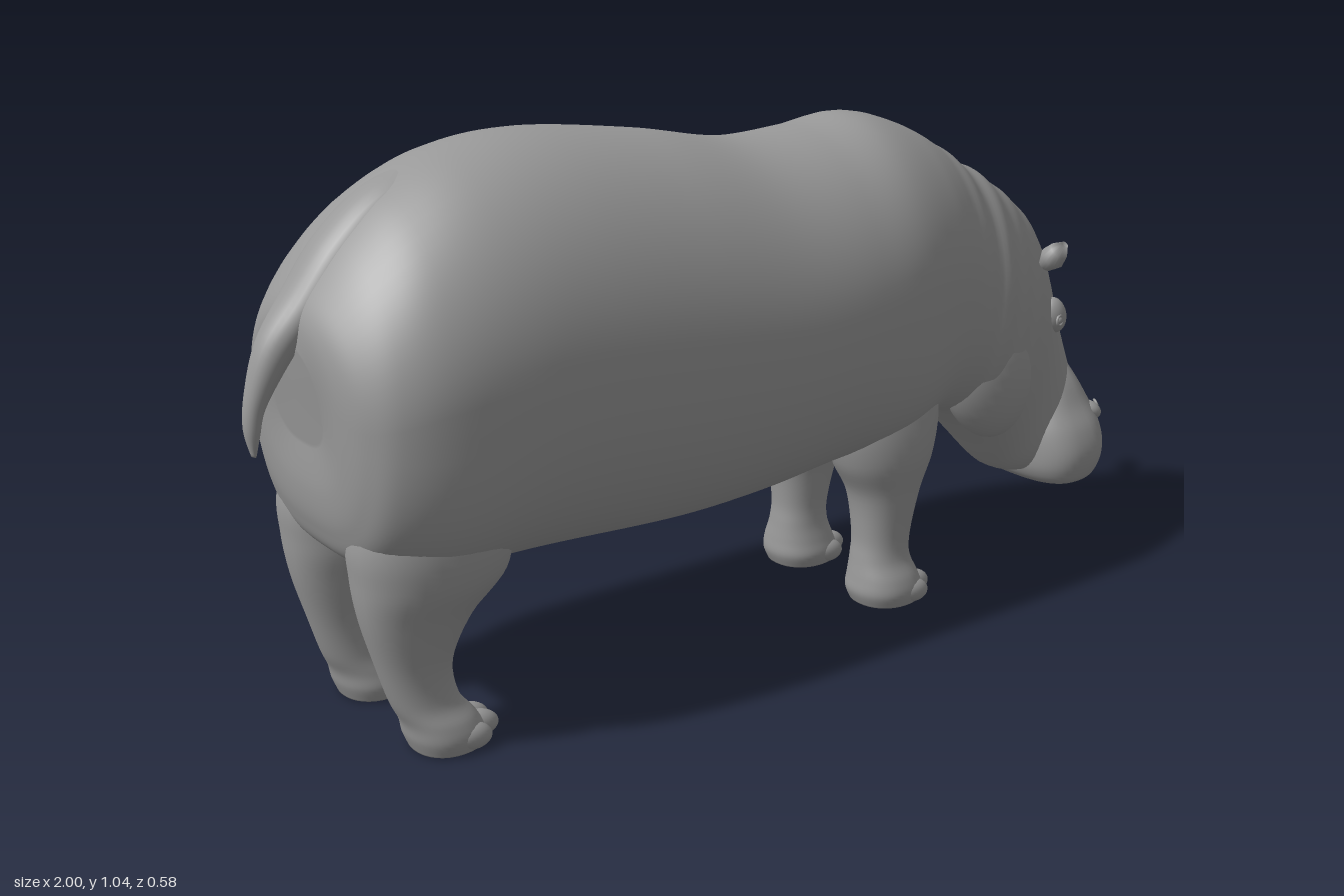
import * as THREE from 'three';

const skin = new THREE.MeshStandardMaterial({ color: 0x999999 });
const thinSkin = new THREE.MeshStandardMaterial({ color: 0x999999, side: THREE.DoubleSide });

function addMesh(parent, name, geometry, mat = skin) {
  const mesh = new THREE.Mesh(geometry, mat);
  mesh.name = name;
  parent.add(mesh);
  return mesh;
}

function ellipsoid(parent, name, centre, radii, tilt = 0) {
  const mesh = addMesh(parent, name, new THREE.SphereGeometry(1, 28, 20));
  mesh.position.set(...centre);
  mesh.scale.set(...radii);
  mesh.rotation.z = tilt;
}

// Catmull-Rom blend of one ring parameter
function blend(a, b, c, d, t) {
  return b + 0.5 * t * (c - a + t * (2 * a - 5 * b + 4 * c - d + t * (3 * (b - c) + d - a)));
}

// Smooth skin through rings: [topX, topY, bottomX, bottomY, halfWidth, centreZ, skew].
// power < 1 squares the section; lowPower(x) does so for the lower half; adjust(ring) alters a ring.
function loft(rings, { power = 1, lowPower = () => power, steps = 6, sides = 48, adjust = () => {} } = {}) {
  const full = rings.map(r => [...r, 0, 0].slice(0, 7));
  const last = full.length - 1;
  const at = i => full[Math.min(Math.max(i, 0), last)];
  const positions = [], index = [], centres = [];
  const count = last * steps + 1;
  for (let k = 0; k < count; k++) {
    const i = Math.min(Math.floor(k / steps), last - 1);
    const t = k / steps - i;
    const r = at(i).map((v, n) => blend(at(i - 1)[n], v, at(i + 1)[n], at(i + 2)[n], t));
    adjust(r);
    const [tx, ty, bx, by, w, zc, skew] = r;
    centres.push([(tx + bx) / 2, (ty + by) / 2, zc]);
    for (let j = 0; j < sides; j++) {
      const a = j / sides * Math.PI * 2;
      const c = Math.cos(a), s = Math.sin(a);
      const p = c < 0 ? lowPower(bx) : power;
      const u = Math.sign(c) * Math.abs(c) ** p;
      const v = Math.sign(s) * Math.abs(s) ** p;
      positions.push((tx + bx) / 2 + u * (tx - bx) / 2, (ty + by) / 2 + u * (ty - by) / 2,
        zc + v * w * (1 - skew * u));
    }
  }
  for (let k = 0; k < count - 1; k++) {
    for (let j = 0; j < sides; j++) {
      const a = k * sides + j, b = k * sides + (j + 1) % sides;
      index.push(a, b, a + sides, b, b + sides, a + sides);
    }
  }
  // end caps
  const start = positions.length / 3, end = (count - 1) * sides;
  positions.push(...centres[0], ...centres[count - 1]);
  for (let j = 0; j < sides; j++) {
    const n = (j + 1) % sides;
    index.push(start, n, j, start + 1, end + j, end + n);
  }
  const g = new THREE.BufferGeometry();
  g.setAttribute('position', new THREE.Float32BufferAttribute(positions, 3));
  g.setIndex(index);
  g.computeVertexNormals();
  return g;
}

// Soft, uneven skin folds around the neck
function neckFolds(r) {
  const x = r[0];
  const fade = THREE.MathUtils.smoothstep(x, 0.46, 0.54) * (1 - THREE.MathUtils.smoothstep(x, 0.72, 0.82));
  const wave = fade * (0.0025 * Math.sin(x * 72) + 0.002 * Math.sin(x * 41));
  r[1] += wave;
  r[4] += wave;
}

// Fuller flanks where the haunches and shoulders run into the legs
function flankPower(x) {
  const hump = (centre, width) => Math.exp(-(((x - centre) / width) ** 2));
  return 0.86 - 0.26 * hump(-0.76, 0.17) - 0.2 * hump(0.32, 0.14);
}

function addLeg(parent, name, rings, side, toeX) {
  const leg = new THREE.Group();
  leg.name = name;
  parent.add(leg);
  const placed = rings.map(([tx, ty, bx, by, w, z]) => [tx, ty, bx, by, w, z * side]);
  addMesh(leg, 'legSkin', loft(placed, { power: 0.9, sides: 32 }));
  // four toes fanned over the front of the foot
  for (let i = 0; i < 4; i++) {
    const f = (i - 1.5) / 1.5;
    ellipsoid(leg, 'toe', [toeX - 0.038 * f * f, 0.027, side * 0.135 + f * 0.053], [0.042, 0.025, 0.024], -0.15);
  }
}

export function createModel() {
  const hippo = new THREE.Group();
  hippo.name = 'hippopotamus';

  // trunk, neck and head down to the jaw
  addMesh(hippo, 'bodyAndHead', loft([
    [-0.918, 0.74, -0.895, 0.56, 0.09],
    [-0.91, 0.79, -0.9, 0.48, 0.16],
    [-0.88, 0.84, -0.89, 0.41, 0.213],
    [-0.82, 0.91, -0.86, 0.355, 0.254],
    [-0.74, 0.975, -0.77, 0.325, 0.281],
    [-0.62, 1.028, -0.62, 0.305, 0.291],
    [-0.45, 1.045, -0.45, 0.288, 0.29],
    [-0.2, 1.015, -0.2, 0.275, 0.288],
    [0, 0.978, 0, 0.285, 0.287],
    [0.17, 0.982, 0.17, 0.31, 0.28],
    [0.3, 0.996, 0.3, 0.335, 0.266],
    [0.42, 0.962, 0.42, 0.355, 0.235],
    [0.52, 0.91, 0.5, 0.345, 0.205, 0, 0.03],
    [0.62, 0.85, 0.55, 0.33, 0.188, 0, 0.08],
    [0.7, 0.803, 0.6, 0.29, 0.17, 0, 0.12],
    [0.78, 0.742, 0.65, 0.24, 0.147, 0, 0.14],
    [0.83, 0.675, 0.685, 0.2, 0.128, 0, 0.1],
    [0.862, 0.6, 0.71, 0.175, 0.114, 0, 0.05],
    [0.89, 0.51, 0.73, 0.16, 0.107],
    [0.926, 0.41, 0.765, 0.145, 0.106],
    [0.955, 0.33, 0.8, 0.14, 0.106],
    [0.96, 0.25, 0.84, 0.14, 0.09],
  ], { power: 1.02, lowPower: flankPower, steps: 8, sides: 64, adjust: neckFolds }));

  // broad muzzle hanging over the jaw
  addMesh(hippo, 'muzzle', loft([
    [0.895, 0.42, 0.84, 0.4, 0.06],
    [0.938, 0.355, 0.818, 0.345, 0.095],
    [0.972, 0.3, 0.795, 0.29, 0.118],
    [0.994, 0.25, 0.785, 0.24, 0.143],
    [1, 0.2, 0.785, 0.19, 0.155],
    [0.99, 0.155, 0.792, 0.15, 0.15],
    [0.963, 0.125, 0.812, 0.122, 0.132],
    [0.92, 0.112, 0.85, 0.112, 0.085],
  ], { power: 0.78 }));

  // tail, rising out of a low ridge along the rump
  addMesh(hippo, 'tail', loft([
    [-0.6, 0.96, -0.6, 1.025, 0.05],
    [-0.72, 0.92, -0.745, 0.981, 0.055],
    [-0.81, 0.85, -0.84, 0.908, 0.056],
    [-0.875, 0.76, -0.91, 0.82, 0.052],
    [-0.925, 0.69, -0.965, 0.745, 0.036],
    [-0.962, 0.63, -0.993, 0.66, 0.022],
    [-0.974, 0.585, -1, 0.6, 0.016],
    [-0.982, 0.55, -0.99, 0.552, 0.006],
  ], { sides: 24 }));

  const hindRings = [
    [-0.6, 0.55, -0.84, 0.56, 0.06, 0.14],
    [-0.59, 0.41, -0.882, 0.42, 0.1, 0.133],
    [-0.6, 0.325, -0.882, 0.335, 0.1, 0.132],
    [-0.67, 0.25, -0.872, 0.26, 0.075, 0.131],
    [-0.71, 0.17, -0.847, 0.17, 0.057, 0.13],
    [-0.703, 0.1, -0.825, 0.1, 0.057, 0.131],
    [-0.675, 0.06, -0.807, 0.06, 0.069, 0.135],
    [-0.66, 0.03, -0.8, 0.03, 0.075, 0.135],
    [-0.665, 0.004, -0.79, 0.004, 0.068, 0.135],
  ];
  const frontRings = [
    [0.42, 0.54, 0.22, 0.52, 0.05, 0.12],
    [0.437, 0.42, 0.18, 0.4, 0.08, 0.12],
    [0.42, 0.325, 0.192, 0.315, 0.084, 0.124],
    [0.385, 0.24, 0.228, 0.24, 0.066, 0.128],
    [0.362, 0.15, 0.24, 0.15, 0.055, 0.13],
    [0.36, 0.1, 0.237, 0.1, 0.057, 0.131],
    [0.375, 0.06, 0.232, 0.06, 0.069, 0.135],
    [0.385, 0.03, 0.23, 0.03, 0.075, 0.135],
    [0.38, 0.004, 0.24, 0.004, 0.068, 0.135],
  ];

  // cupped, pointed ear outline
  const earProfile = [[0, 0], [0.015, 0.008], [0.027, 0.034], [0.021, 0.058], [0.007, 0.08], [0.014, 0.055], [0.018, 0.036], [0, 0.018]]
    .map(p => new THREE.Vector2(...p));

  for (const side of [1, -1]) {
    const label = side > 0 ? 'Left' : 'Right';
    // the animal walks towards +x, so +z is its right flank
    const flank = side > 0 ? 'Right' : 'Left';
    addLeg(hippo, 'hindLeg' + flank, hindRings, side, -0.668);
    addLeg(hippo, 'frontLeg' + flank, frontRings, side, 0.374);

    ellipsoid(hippo, 'cheek' + flank, [0.615, 0.43, side * 0.1], [0.11, 0.16, 0.078], 0.3);

    // brow, eyeball and lid
    ellipsoid(hippo, 'brow' + flank, [0.832, 0.507, side * 0.086], [0.03, 0.042, 0.026], 0.35);
    ellipsoid(hippo, 'eye' + flank, [0.828, 0.5, side * 0.105], [0.01, 0.01, 0.009]);
    const lid = addMesh(hippo, 'eyelid' + flank, new THREE.TorusGeometry(0.011, 0.003, 8, 20));
    lid.position.set(0.828, 0.5, side * 0.11);
    lid.rotation.y = side * 0.2;

    const ear = addMesh(hippo, 'ear' + flank, new THREE.LatheGeometry(earProfile, 24), thinSkin);
    ear.position.set(0.763, 0.628, side * 0.113);
    ear.rotation.set(side * 0.72, 0, -0.1);

    // raised nostril
    ellipsoid(hippo, 'nostrilMound' + flank, [0.952, 0.268, side * 0.09], [0.034, 0.022, 0.032], -0.4);
    const rim = addMesh(hippo, 'nostrilRim' + flank, new THREE.TorusGeometry(0.009, 0.003, 8, 20));
    rim.position.set(0.974, 0.279, side * 0.097);
    rim.rotation.set(-0.7, 0.9, 0);
  }
  return hippo;
}
